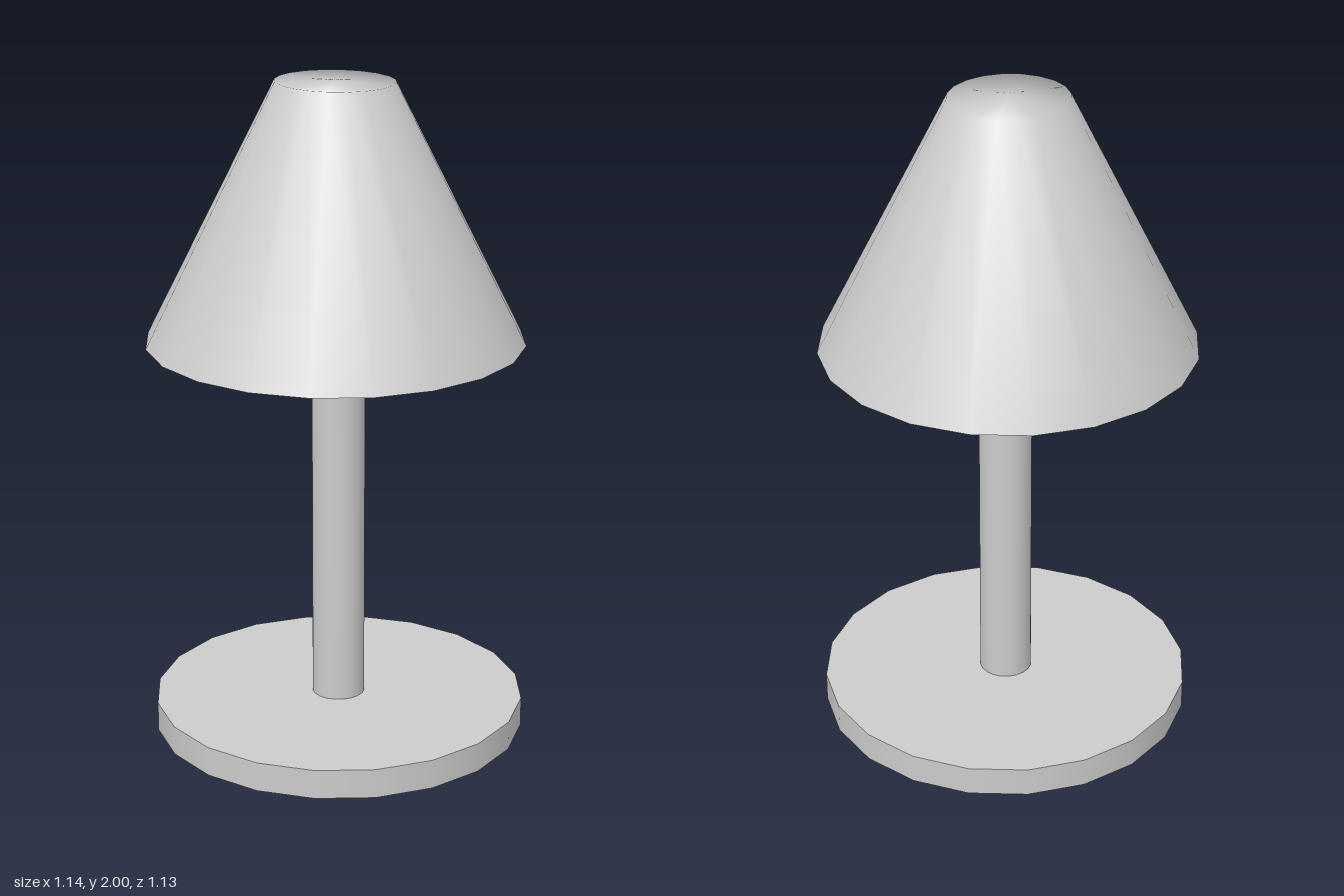
import * as THREE from 'three';

const SIDES = 20;

export function createModel() {
  const group = new THREE.Group();
  const material = new THREE.MeshStandardMaterial({ color: 0xcccccc });
  const add = (name, geometry, x, y, parent = group) => {
    const mesh = new THREE.Mesh(geometry, material);
    mesh.name = name;
    mesh.position.set(x, y, 0);
    parent.add(mesh);
    return mesh;
  };

  // Round foot and straight stem
  add('base', new THREE.CylinderGeometry(0.565, 0.565, 0.09, SIDES), 0.005, 0.045);
  add('stem', new THREE.CylinderGeometry(0.08, 0.08, 1.145, SIDES), 0.003, 0.6575);

  // Tapered shade, its normals running smoothly over the top rim into the cap
  const shade = new THREE.Group();
  shade.name = 'shade';
  group.add(shade);
  const profile = [[0.564, 0], [0.177, 0.775], [0, 0.775]].map(([r, y]) => new THREE.Vector2(r, y));
  const cone = new THREE.LatheGeometry(profile, SIDES);
  // The cap leans very slightly down towards +x
  const pos = cone.attributes.position;
  for (let i = 0; i < pos.count; i++) {
    if (pos.getY(i) > 0.5) pos.setY(i, pos.getY(i) - 0.003 - 0.015 * pos.getX(i));
  }
  add('shadeCone', cone, -0.007, 1.225, shade);

  // Flat underside closing the shade
  const underside = new THREE.CircleGeometry(0.564, SIDES).rotateX(Math.PI / 2);
  add('shadeUnderside', underside, -0.007, 1.225, shade);

  return group;
}
